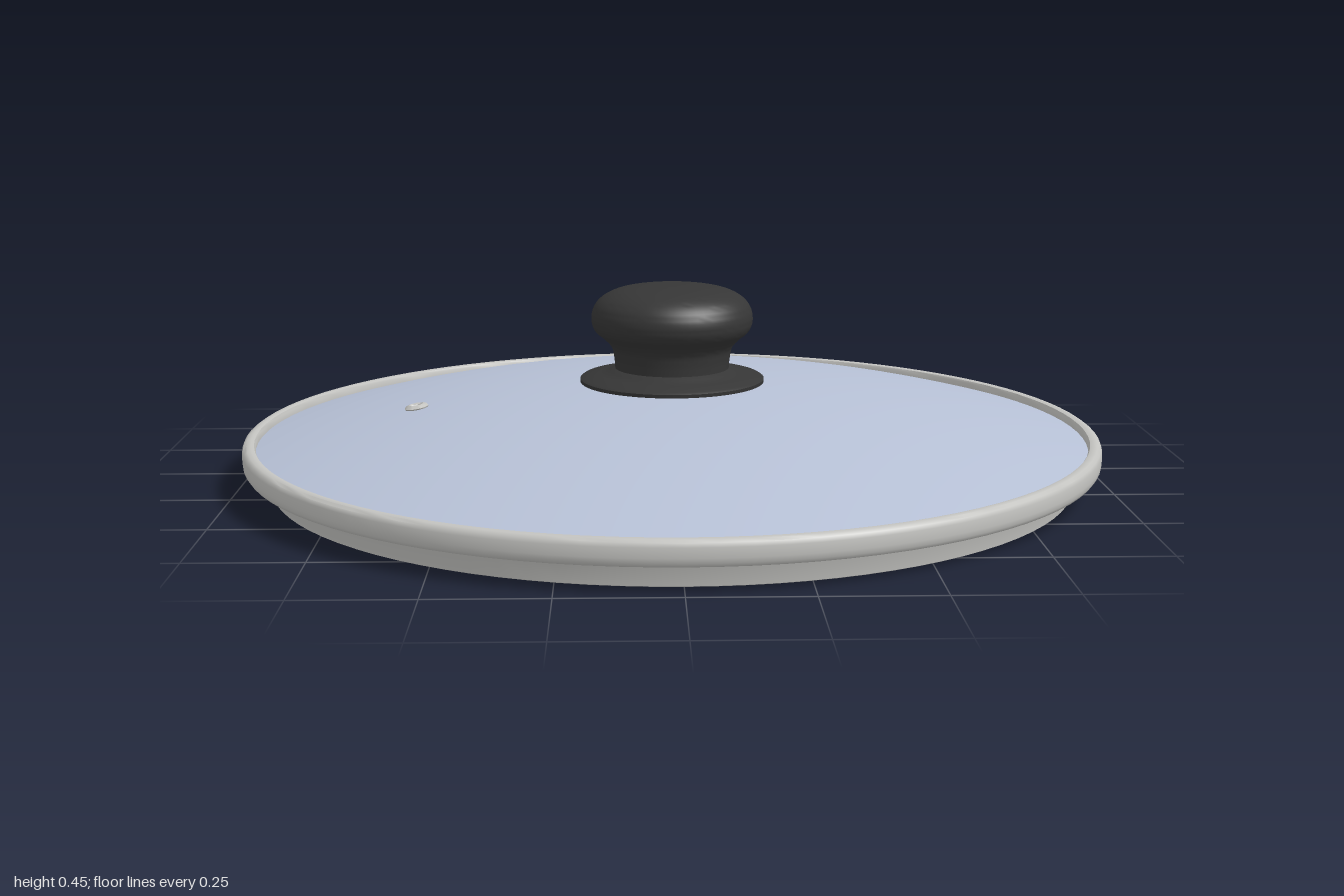
import * as THREE from 'three';
import { toCreasedNormals } from 'three/addons/utils/BufferGeometryUtils.js';

function flat(name, color) {
  const material = new THREE.MeshStandardMaterial({ color });
  material.name = name;
  return material;
}
const glass = flat('tintedGlass', 0xb6c0d5);
const steel = flat('steel', 0xc3c3c0);
const brightSteel = flat('polishedSteel', 0xe2e2e0);
const black = flat('blackPlastic', 0x363636);

// Turned part; the profile runs anticlockwise in (radius, height)
function turned(name, material, profile, segments = 96, crease = 0.7) {
  const points = profile.map(([r, y]) => new THREE.Vector2(r, y));
  const geometry = toCreasedNormals(new THREE.LatheGeometry(points, segments), crease);
  const mesh = new THREE.Mesh(geometry, material);
  mesh.name = name;
  return mesh;
}

const topHeight = (r) => 0.228 - 0.146 * r * r;
const underHeight = (r) => 0.205 - 0.215 * r ** 3;

export function createModel() {
  const lid = new THREE.Group();
  lid.name = 'potLid';

  // Glass dome: underside outwards, edge hidden in the rim, then top inwards
  const dome = [];
  const steps = 24;
  for (let i = 0; i <= steps; i++) dome.push([0.928 * i / steps, underHeight(0.928 * i / steps)]);
  dome.push([0.932, 0.07], [0.975, 0.075]);
  for (let i = steps; i >= 0; i--) dome.push([0.975 * i / steps, topHeight(0.975 * i / steps)]);
  lid.add(turned('glassDome', glass, dome));

  // Steel band with a rounded upper bead and a narrower skirt
  lid.add(turned('steelRim', steel, [
    [0.926, 0.04], [0.926, 0.004], [0.929, 0.001], [0.933, 0], [0.937, 0.002], [0.938, 0.006],
    [0.938, 0.042], [0.943, 0.05], [0.953, 0.053], [0.985, 0.054],
    [0.994, 0.057], [0.999, 0.065], [1, 0.075], [1, 0.096], [0.997, 0.105],
    [0.99, 0.11], [0.98, 0.111], [0.973, 0.109], [0.97, 0.104], [0.97, 0.085],
  ]));

  // Handle: flared collar and mushroom-shaped grip
  const handle = new THREE.Group();
  handle.name = 'handle';
  handle.add(turned('collar', black, [
    [0, 0.218], [0.215, 0.218], [0.217, 0.222], [0.217, 0.229], [0.211, 0.233],
    [0.17, 0.24], [0.145, 0.247], [0.134, 0.254], [0, 0.254],
  ], 64));
  const gripCurve = new THREE.SplineCurve([
    [0.134, 0.25], [0.136, 0.275], [0.142, 0.303], [0.16, 0.324], [0.181, 0.342],
    [0.19, 0.368], [0.184, 0.398], [0.163, 0.422], [0.125, 0.439], [0.065, 0.448], [0, 0.45],
  ].map(([r, y]) => new THREE.Vector2(r, y)));
  const grip = gripCurve.getPoints(40).map((p) => [Math.max(p.x, 0), p.y]);
  handle.add(turned('grip', black, [[0, 0.25], ...grip], 64));
  lid.add(handle);

  // Domed washer and screw head beneath the glass
  lid.add(turned('washer', steel, [
    [0, 0.186], [0.036, 0.186], [0.052, 0.19], [0.064, 0.197], [0.069, 0.206], [0, 0.206],
  ], 40));
  lid.add(turned('screwHead', steel, [
    [0, 0.17], [0.018, 0.172], [0.027, 0.178], [0.031, 0.19], [0, 0.19],
  ], 32));

  // Steam vent grommet, flanged above and below the glass
  const vent = new THREE.Group();
  vent.name = 'steamVent';
  const ventX = -0.595, ventZ = 0.085;
  const ventRadius = Math.hypot(ventX, ventZ);
  const ventTop = topHeight(ventRadius), ventUnder = underHeight(ventRadius);
  const flange = [[0.012, -0.003], [0.025, -0.003], [0.028, 0.002], [0.024, 0.007], [0.016, 0.009], [0.012, 0.006], [0.012, -0.003]];
  const upper = turned('upperFlange', steel, flange, 24);
  upper.position.y = ventTop;
  upper.rotation.z = 0.17;
  const lower = turned('lowerFlange', steel, flange, 24);
  lower.position.y = ventUnder;
  lower.rotation.z = Math.PI + 0.22;
  const core = new THREE.Mesh(new THREE.CylinderGeometry(0.013, 0.013, ventTop - ventUnder + 0.01, 24), brightSteel);
  core.name = 'ventCore';
  core.position.y = (ventTop + ventUnder) / 2;
  vent.add(upper, lower, core);
  vent.position.set(ventX, 0, ventZ);
  lid.add(vent);

  return lid;
}
